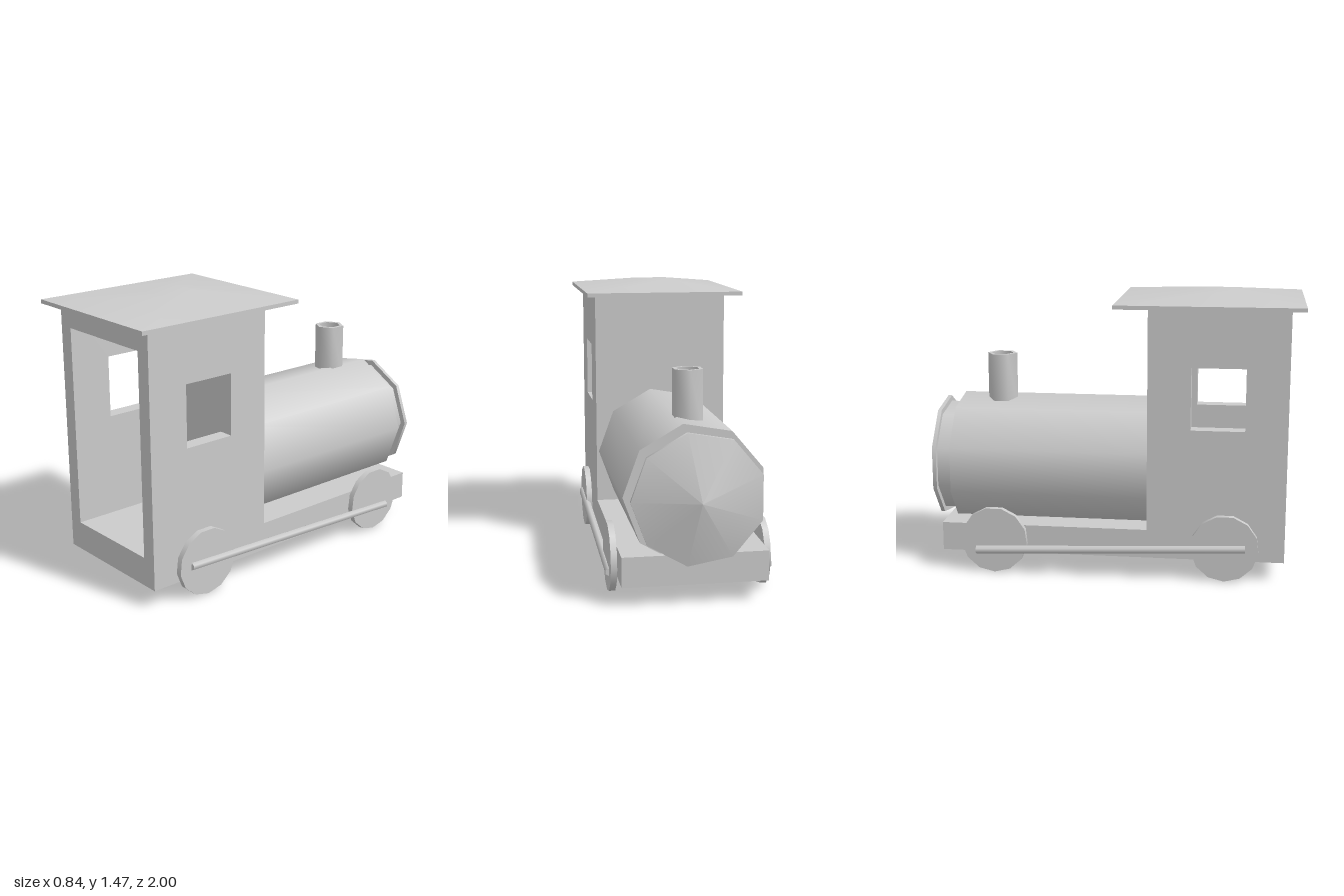
import * as THREE from 'three';
import { toCreasedNormals } from 'three/addons/utils/BufferGeometryUtils.js';

const CX = 0.004; // middle of the body

export function createModel() {
  const model = new THREE.Group();
  const mat = new THREE.MeshStandardMaterial({ color: 0xcccccc });
  const matDouble = new THREE.MeshStandardMaterial({ color: 0xcccccc, side: THREE.DoubleSide });

  const add = (name, geo, x = 0, y = 0, z = 0, m = mat) => {
    const mesh = new THREE.Mesh(geo, m);
    mesh.name = name;
    mesh.position.set(x, y, z);
    model.add(mesh);
    return mesh;
  };

  // Box given by its lower and upper corners
  const box = (name, x0, x1, y0, y1, z0, z1) =>
    add(name, new THREE.BoxGeometry(x1 - x0, y1 - y0, z1 - z0),
      (x0 + x1) / 2, (y0 + y1) / 2, (z0 + z1) / 2);

  // Nine-sided drum lying along z, from zBack to zFront (towards -z)
  const drum = (name, r, zBack, zFront, rTip = r) => {
    const geo = new THREE.CylinderGeometry(rTip, r, zBack - zFront, 9, 1, false, Math.PI / 2);
    geo.rotateX(-Math.PI / 2);
    add(name, geo, 0, 0.53, (zBack + zFront) / 2);
  };

  // Chassis, which is also the cab floor
  const L = CX - 0.358, R = CX + 0.358, t = 0.079;
  box('chassis', L, R, 0.1, 0.25, -0.86, 0.93);

  // Cab: side walls with windows, end wall and ceiling
  const wall = new THREE.Shape([[0.22, 0.25], [0.93, 0.25], [0.93, 1.4], [0.22, 1.4]]
    .map(p => new THREE.Vector2(...p)));
  wall.holes.push(new THREE.Path([[0.44, 0.785], [0.44, 1.105], [0.715, 1.105], [0.715, 0.785]]
    .map(p => new THREE.Vector2(...p))));
  const wallGeo = new THREE.ExtrudeGeometry(wall, { depth: t, bevelEnabled: false });
  wallGeo.rotateY(-Math.PI / 2);
  add('cabWallLeft', wallGeo, R);
  add('cabWallRight', wallGeo, L + t);
  box('cabEndWall', L + t, R - t, 0.25, 1.4, 0.22, 0.38);
  box('cabCeiling', L + t, R - t, 1.29, 1.4, 0.38, 0.93);

  // Roof: thin slab with a shallow hipped top
  box('roofSlab', -0.42, 0.42, 1.4, 1.42, 0.05, 1);
  const hip = new THREE.BoxGeometry(0.84, 0.045, 0.95);
  const p = hip.attributes.position;
  for (let i = 0; i < p.count; i++) {
    if (p.getY(i) > 0) {
      p.setX(i, Math.sign(p.getX(i)) * 0.085);
      p.setZ(i, Math.sign(p.getZ(i)) * 0.1);
    }
  }
  add('roofTop', toCreasedNormals(hip, 0.5), 0, 1.4425, 0.525);

  // Boiler, collar and pointed nose
  drum('boiler', 0.35, 0.22, -0.82);
  drum('boilerCollar', 0.295, -0.82, -0.9);
  drum('nosePlate', 0.325, -0.9, -0.92);
  drum('noseCone', 0.325, -0.92, -1, 0);

  // Hollow six-sided chimney
  const profile = [[0.08, 0.8], [0.08, 1.105], [0.06, 1.105], [0.06, 0.9], [0, 0.9]]
    .map(q => new THREE.Vector2(...q));
  add('chimney', toCreasedNormals(new THREE.LatheGeometry(profile, 6), 1.1), 0, 0, -0.597, matDouble);

  // Wheels and coupling rods on both sides
  const wheelGeo = new THREE.CylinderGeometry(0.175, 0.175, 0.031, 13);
  wheelGeo.rotateZ(Math.PI / 2);
  wheelGeo.rotateX(Math.PI / 2);
  const a = new THREE.Vector3(0, 0.18, 0.73), b = new THREE.Vector3(0, 0.12, -0.672);
  const rodGeo = new THREE.CylinderGeometry(0.021, 0.021, a.distanceTo(b), 6);
  rodGeo.rotateX(Math.PI / 2 - Math.atan2(a.y - b.y, a.z - b.z));
  for (const [side, s] of [['Left', 1], ['Right', -1]]) {
    add('rearWheel' + side, wheelGeo, CX + s * 0.38, 0.175, 0.625);
    add('frontWheel' + side, wheelGeo, CX + s * 0.38, 0.175, -0.577);
    add('couplingRod' + side, rodGeo, s * 0.398, (a.y + b.y) / 2, (a.z + b.z) / 2);
  }

  return model;
}
